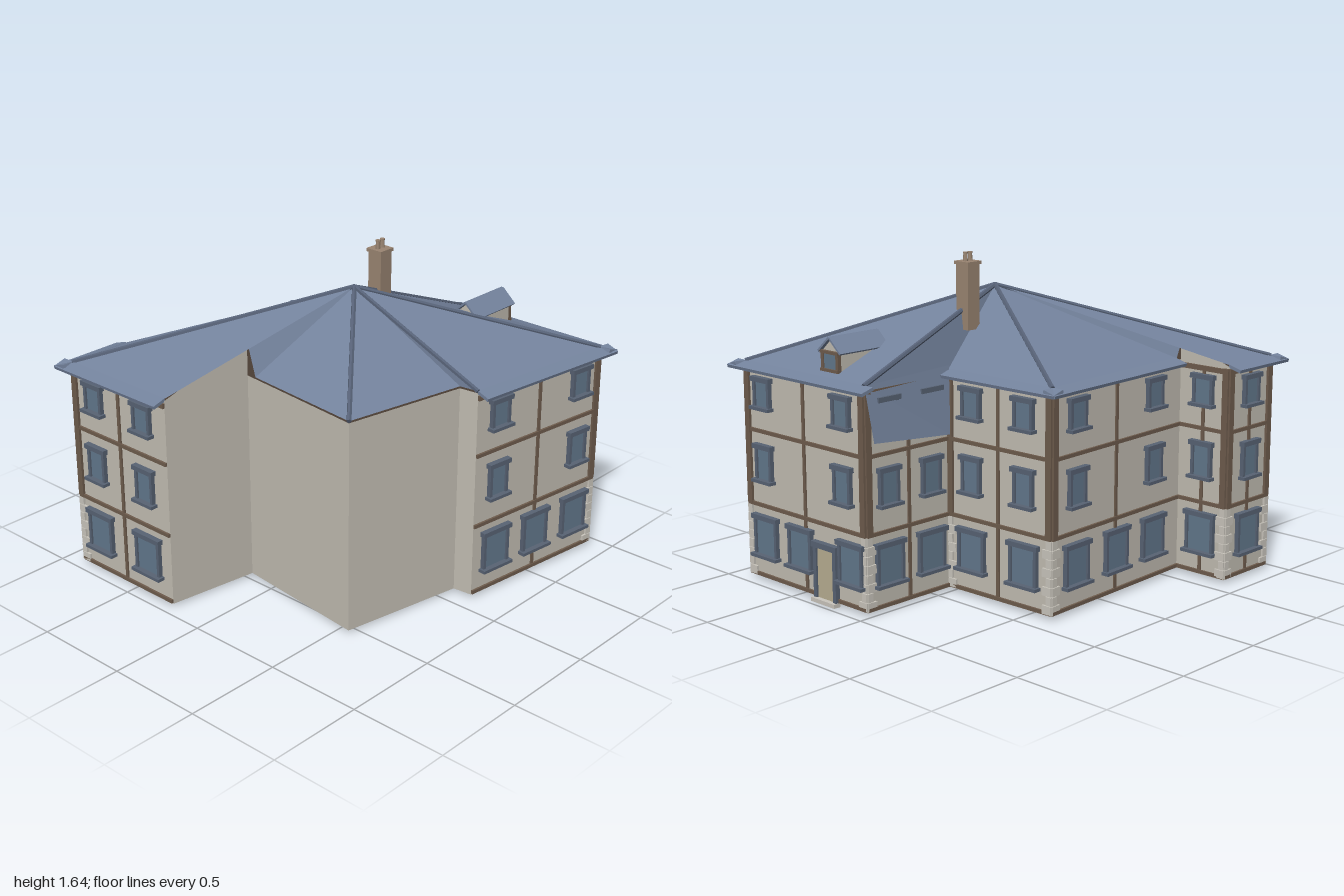
import * as THREE from 'three';

const mat = (color) => new THREE.MeshStandardMaterial({ color, flatShading: true, side: THREE.DoubleSide });
const M = {
  wall: mat(0xc2bdb2), roof: mat(0x74839d), hip: mat(0x566176), beam: mat(0x6e5c4d), base: mat(0x4a3d34),
  glass: mat(0x62788c), frame: mat(0x586374), stone: mat(0xcac6bd), door: mat(0xb8ae92), brick: mat(0x9a8572),
};
const WALL_TOP = 1.09, FLOOR = 0.015, EAVE = 0.06;
const APEX = [0.03, 1.46, 0.07];

// Ground plan, counter-clockwise seen from above: [x, z]
const PLAN = [
  [0.10, 0.78], [0.935, 0.885], [0.935, 0.02], [0.40, 0.02], [0.38, -0.63], [-0.6, -0.59],
  [-0.6, -0.885], [-0.94, -0.885], [-0.94, -0.23], [-0.47, -0.16], [-0.55, 0.56], [0.09, 0.68],
];

function add(parent, name, geo, material, x = 0, y = 0, z = 0) {
  const m = new THREE.Mesh(geo, material);
  m.name = name;
  m.position.set(x, y, z);
  parent.add(m);
  return m;
}
const box = (parent, name, material, w, h, d, x, y, z) =>
  add(parent, name, new THREE.BoxGeometry(w, h, d), material, x, y, z);

// Flat-faced surface from a list of triangles, each of three [x, y, z] corners
function triangles(list) {
  const g = new THREE.BufferGeometry();
  g.setAttribute('position', new THREE.Float32BufferAttribute(list.flat(2), 3));
  g.computeVertexNormals();
  return g;
}

// Square rod between two points, used for hips
function rod(parent, name, a, b, r, material) {
  const p = new THREE.Vector3(...a), q = new THREE.Vector3(...b);
  const m = add(parent, name, new THREE.CylinderGeometry(r, r, p.distanceTo(q), 6), material);
  m.position.copy(p).lerp(q, 0.5);
  m.quaternion.setFromUnitVectors(new THREE.Vector3(0, 1, 0), q.sub(p).normalize());
}

function addWindow(parent, x, y0, y1, w) {
  const g = new THREE.Group();
  g.name = 'window';
  g.position.x = x;
  parent.add(g);
  const h = y1 - y0, mid = (y0 + y1) / 2;
  box(g, 'glass', M.glass, w, h, 0.012, 0, mid, 0.006);
  for (const s of [-1, 1]) box(g, 'jamb', M.frame, 0.016, h, 0.024, s * w / 2, mid, 0.01);
  box(g, 'lintel', M.frame, w + 0.035, 0.024, 0.032, 0, y1 + 0.006, 0.014);
  box(g, 'sill', M.frame, w + 0.04, 0.016, 0.044, 0, y0 - 0.006, 0.018);
}

// One timbered facade; x runs along the wall, z points outwards
function facade(parent, name, i, o) {
  const [p, q] = [PLAN[i], PLAN[i + 1]];
  const dx = q[0] - p[0], dz = q[1] - p[1], L = Math.hypot(dx, dz);
  const g = new THREE.Group();
  g.name = name;
  g.position.set(p[0], 0, p[1]);
  g.rotation.y = Math.atan2(-dz, dx);
  parent.add(g);

  // timber frame
  for (const y of [0.03, 0.39, 0.765]) box(g, 'rail', M.beam, L, 0.018, 0.014, L / 2, y, 0.004);
  box(g, 'topRail', M.beam, L, 0.025, 0.014, L / 2, 1.065, 0.004);
  box(g, 'middlePost', M.beam, 0.017, 1.05, 0.01, o.post ?? L / 2, 0.55, 0.003);
  // corner posts with quoins below
  o.corners.forEach((on, end) => {
    if (!on) return;
    const s = end ? -1 : 1, x0 = end ? L : 0;
    box(g, 'cornerPost', M.beam, 0.034, 0.69, 0.018, x0 + s * 0.014, 0.735, 0.004);
    for (let k = 0; k < 8; k++) {
      const w = k % 2 ? 0.032 : 0.055;
      box(g, 'quoin', M.stone, w, 0.042, 0.014, x0 + s * (w / 2 - 0.005), 0.045 + k * 0.045, 0.004);
    }
  });
  // windows: wide on the ground floor, narrow above
  for (const x of o.ground) addWindow(g, x, 0.14, 0.325, o.wide ?? 0.155);
  for (const x of o.upper) {
    addWindow(g, x, 0.525, 0.685, 0.105);
    addWindow(g, x, 0.89, 1.02, 0.105);
  }
  // overhanging eave, running past convex corners
  if (o.eave) {
    const [a, b] = o.eave.map((v) => v * EAVE);
    const e = box(g, 'eave', M.roof, L + a + b, 0.016, EAVE + 0.012, (L + b - a) / 2, 1.085, 0.03);
    e.rotation.x = 0.28;
  }
  return g;
}

function addDormer(parent) {
  const g = new THREE.Group();
  g.name = 'dormer';
  g.position.set(0.605, 0, 0.305);
  parent.add(g);
  const s = new THREE.Shape([[-0.06, 1.09], [0.06, 1.09], [0.06, 1.215], [0, 1.27], [-0.06, 1.215]]
    .map((p) => new THREE.Vector2(...p)));
  add(g, 'dormerBody', new THREE.ExtrudeGeometry(s, { depth: 0.275, bevelEnabled: false }).rotateY(Math.PI / 2), M.wall);
  for (const k of [-1, 1]) {
    const slab = box(g, 'dormerRoof', M.roof, 0.305, 0.01, 0.105, 0.138, 1.245, k * 0.04);
    slab.rotation.x = k * 0.73;
    box(g, 'dormerPost', M.beam, 0.02, 0.1, 0.018, 0.278, 1.165, k * 0.052);
  }
  for (const y of [1.125, 1.21]) box(g, 'dormerRail', M.beam, 0.024, 0.014, 0.125, 0.28, y, 0);
  box(g, 'dormerGlass', M.glass, 0.01, 0.075, 0.085, 0.278, 1.168, 0);
}

function addChimney(parent) {
  const g = new THREE.Group();
  g.name = 'chimney';
  g.position.set(0.237, 0, 0.05);
  parent.add(g);
  box(g, 'stack', M.brick, 0.078, 0.32, 0.08, 0, 1.43, 0);
  box(g, 'cap', M.brick, 0.092, 0.016, 0.094, 0, 1.59, 0);
  for (const x of [-0.016, 0.016]) {
    add(g, 'pot', new THREE.CylinderGeometry(0.009, 0.012, 0.045, 8), M.brick, x, 1.618, 0);
    add(g, 'potRim', new THREE.CylinderGeometry(0.012, 0.012, 0.008, 8), M.brick, x, 1.638, 0);
  }
}

export function createModel() {
  const house = new THREE.Group();
  house.name = 'house';

  // solid walls on the ground plan
  const plan = new THREE.Shape(PLAN.map(([x, z]) => new THREE.Vector2(x, -z)));
  const body = new THREE.ExtrudeGeometry(plan, { depth: WALL_TOP - FLOOR, bevelEnabled: false }).rotateX(-Math.PI / 2);
  add(house, 'walls', body, [M.base, M.wall], 0, FLOOR, 0);

  // wall pieces that rise to the roof of the back wing
  add(house, 'gableWalls', triangles([
    [[-0.94, 1.09, -0.23], [-0.47, 1.09, -0.16], [-0.47, 1.27, -0.16]],
    [[-0.6, 1.09, -0.59], [-0.6, 1.09, -0.885], [-0.6, 1.206, -0.59]],
  ]), M.wall);

  // roof: a fan of slopes from the apex
  const ring = PLAN.map(([x, z]) => [x, 1.1, z]);
  ring[9] = [-0.47, 1.27, -0.16];
  ring.splice(10, 0, [-0.478, 1.1, -0.1]);
  ring.splice(5, 1, [-0.56, 1.1, -0.595], [-0.6, 1.206, -0.6]);
  add(house, 'roof', triangles(ring.map((p, i) => [APEX, p, ring[(i + 1) % ring.length]])), M.roof);
  for (const i of [0, 1, 2, 4, 8, 12]) rod(house, 'hip', APEX, ring[i], 0.012, M.hip);

  // steep apron hanging over the back of the right wing
  const a = [0.935, 1.1, 0.015], b = [0.40, 1.12, 0.015], c = [0.45, 0.8, -0.04], d = [0.93, 0.84, -0.04];
  add(house, 'roofApron', triangles([[a, c, b], [a, d, c]]), M.roof);

  // facades
  facade(house, 'frontFacade', 0, {
    ground: [0.145, 0.42, 0.70], upper: [0.145, 0.70], corners: [0, 1], eave: [0, 1],
  });
  const right = facade(house, 'rightFacade', 1, {
    ground: [0.135, 0.395, 0.765], upper: [0.135, 0.715], corners: [1, 1], eave: [1, 1],
  });
  facade(house, 'rightWingBack', 2, { ground: [0.135, 0.405], upper: [0.135, 0.405], corners: [1, 0] });
  facade(house, 'middleRightFacade', 3, {
    ground: [0.155, 0.485], upper: [0.155, 0.485], post: 0.32, corners: [1, 1], eave: [0, 1],
  });
  facade(house, 'middleBackFacade', 4, {
    ground: [0.17, 0.47, 0.76], upper: [0.17, 0.76], post: 0.47, corners: [1, 0], eave: [1, -0.7],
  });
  facade(house, 'backWingRight', 5, { ground: [0.15], upper: [0.15], corners: [0, 1] });
  facade(house, 'backWingBack', 6, { ground: [0.17], upper: [0.17], corners: [1, 1], eave: [0, 1] });
  facade(house, 'backWingLeft', 7, {
    ground: [0.155, 0.5], upper: [0.155, 0.5], corners: [1, 0], eave: [1, 0],
  });

  // door with its frame and step
  box(right, 'door', M.door, 0.125, 0.25, 0.014, 0.585, 0.14, 0.008);
  for (const s of [-1, 1]) box(right, 'doorJamb', M.frame, 0.022, 0.27, 0.026, 0.585 + s * 0.07, 0.15, 0.012);
  box(right, 'doorLintel', M.frame, 0.18, 0.028, 0.034, 0.585, 0.285, 0.014);
  box(right, 'doorStep', M.stone, 0.17, 0.02, 0.04, 0.585, 0.01, 0.02);

  addDormer(house);
  addChimney(house);
  return house;
}
